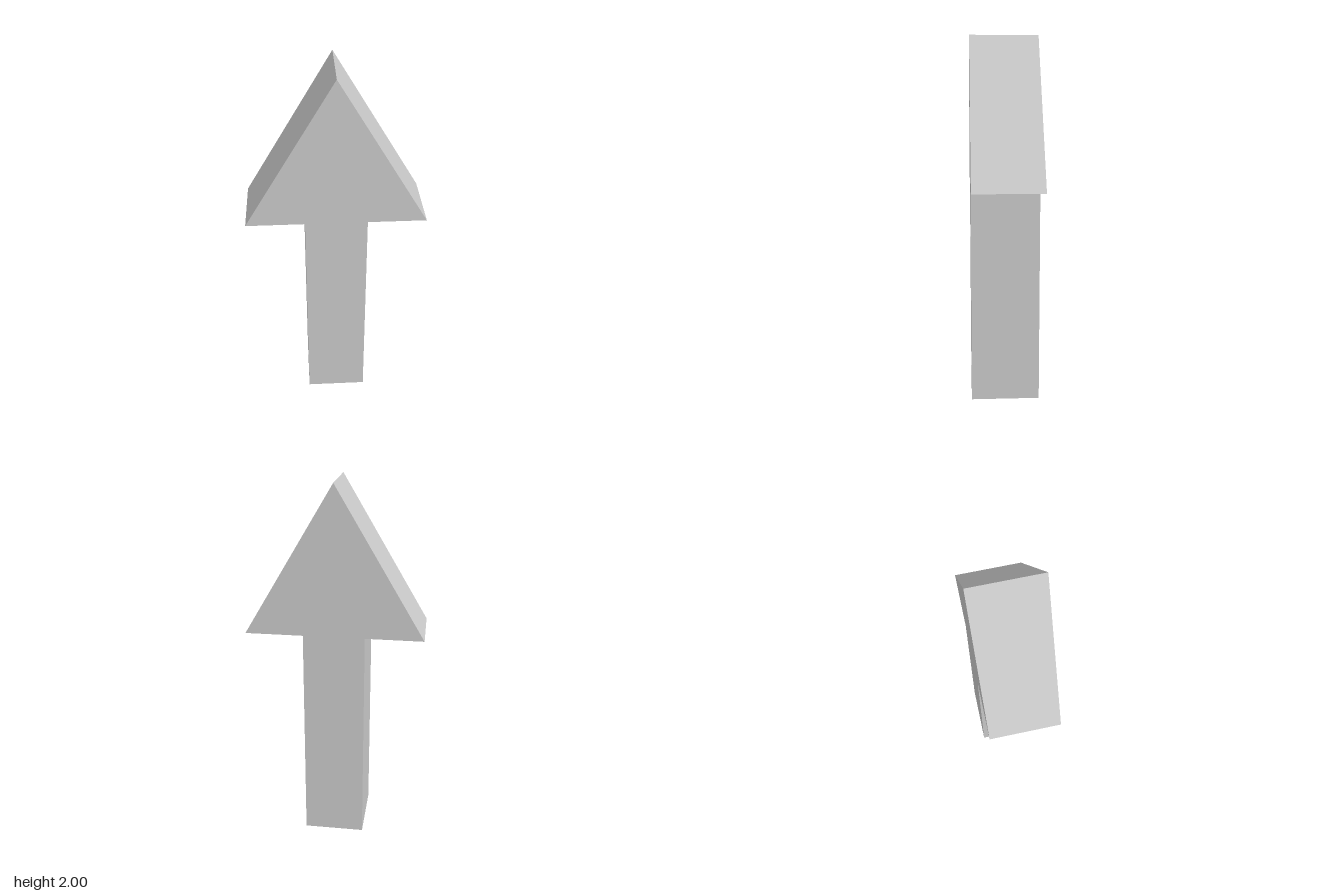
import * as THREE from 'three';

export function createModel() {
  const group = new THREE.Group();
  group.name = 'upArrow';

  const headHalf = 0.477, shaftHalf = 0.165, headBase = 1.2, height = 2, depth = 0.375;

  // Arrow outline, counter-clockwise from the shaft's foot
  const outline = new THREE.Shape([
    [-shaftHalf, 0], [shaftHalf, 0], [shaftHalf, headBase], [headHalf, headBase],
    [0, height], [-headHalf, headBase], [-shaftHalf, headBase],
  ].map(([x, y]) => new THREE.Vector2(x, y)));

  // Flat-sided slab centred on z = 0
  const geometry = new THREE.ExtrudeGeometry(outline, { depth, bevelEnabled: false });
  geometry.translate(0, 0, -depth / 2);

  const arrow = new THREE.Mesh(
    geometry,
    new THREE.MeshStandardMaterial({ color: 0xcccccc, flatShading: true }),
  );
  arrow.name = 'arrow';
  group.add(arrow);
  return group;
}
